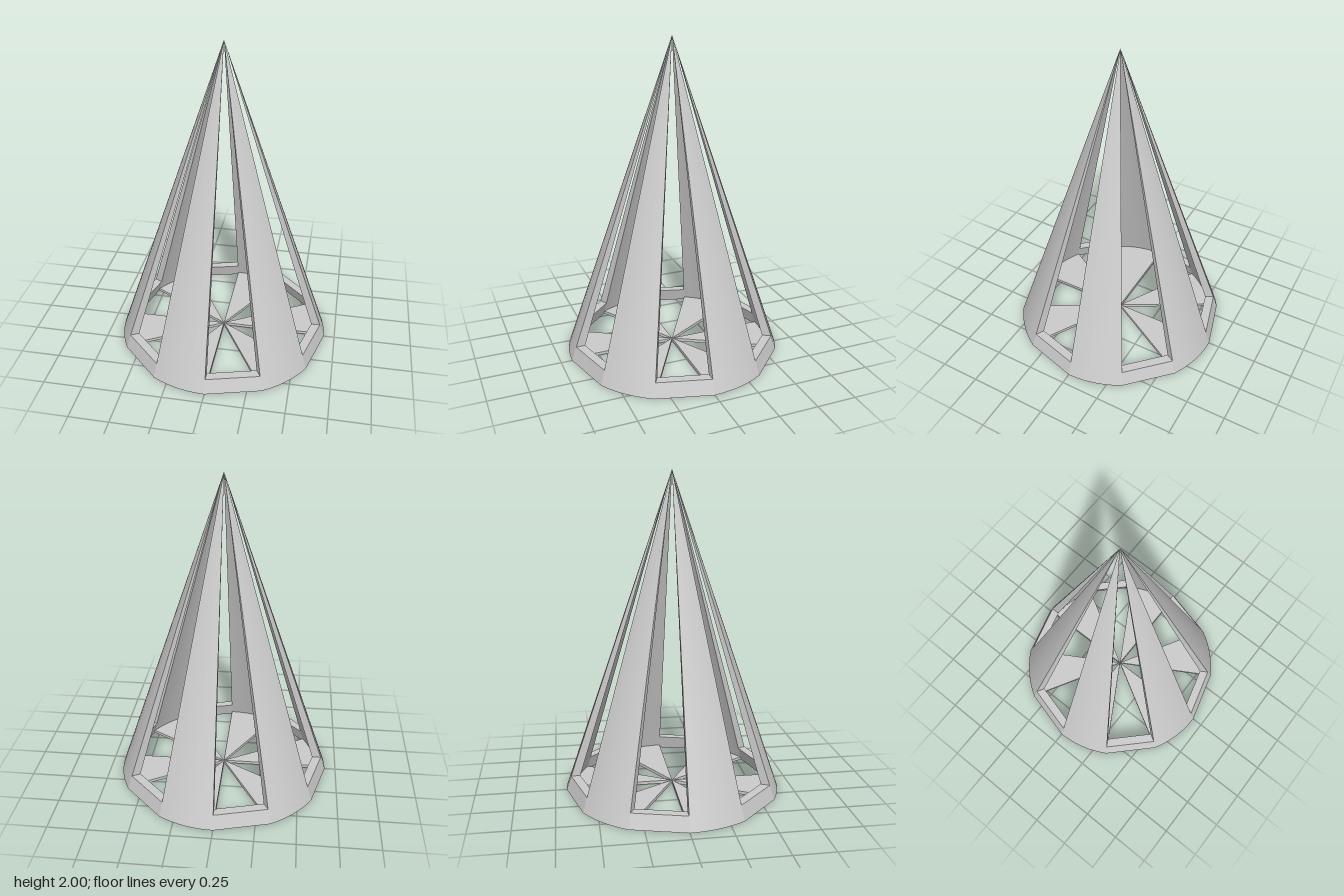
import * as THREE from 'three';
import { toCreasedNormals } from 'three/addons/utils/BufferGeometryUtils.js';

const HEIGHT = 2, OUTER = 0.68, INNER = 0.62, RIM_TOP = 0.09, FLOOR = 0.02;
const STEP = Math.PI / 6; // six walls and six windows, 30 degrees each

// Radius of a cone with base radius r at height y
const radiusAt = (r, y) => r * (1 - y / HEIGHT);

// Sweeps a convex counter-clockwise [radius, y] profile around y, with end caps
function sweep(profile, start, end, segments) {
  const positions = [];
  const tri = (a, b, c) => {
    const area = b.clone().sub(a).cross(c.clone().sub(a)).length();
    if (area > 1e-9) for (const p of [a, b, c]) positions.push(p.x, p.y, p.z);
  };
  const ringAt = (i) => {
    const a = start + ((end - start) * i) / segments;
    return profile.map(([r, y]) => new THREE.Vector3(r * Math.cos(a), y, r * Math.sin(a)));
  };
  const n = profile.length;
  for (let i = 0; i < segments; i++) {
    const A = ringAt(i), B = ringAt(i + 1);
    for (let j = 0; j < n; j++) {
      const k = (j + 1) % n;
      tri(A[j], A[k], B[k]);
      tri(A[j], B[k], B[j]);
    }
  }
  const first = ringAt(0), last = ringAt(segments);
  for (let j = 1; j < n - 1; j++) {
    tri(first[0], first[j + 1], first[j]);
    tri(last[0], last[j], last[j + 1]);
  }
  const geometry = new THREE.BufferGeometry();
  geometry.setAttribute('position', new THREE.Float32BufferAttribute(positions, 3));
  return toCreasedNormals(geometry, 0.25);
}

export function createModel() {
  const group = new THREE.Group();
  group.name = 'openCone';
  const material = new THREE.MeshStandardMaterial({ color: 0xcccccc });
  const add = (name, geometry) => {
    const mesh = new THREE.Mesh(geometry, material);
    mesh.name = name;
    group.add(mesh);
  };

  // Tapering wall, both skins meeting at the tip
  const wall = [[INNER, 0], [OUTER, 0], [0, HEIGHT]];
  // Low sill closing the bottom of each window
  const sill = [
    [INNER, 0], [OUTER, 0],
    [radiusAt(OUTER, RIM_TOP), RIM_TOP], [radiusAt(INNER, RIM_TOP), RIM_TOP],
  ];
  // Thin floor wedge running to the centre
  const spoke = [[0, 0], [INNER, 0], [radiusAt(INNER, FLOOR), FLOOR], [0, FLOOR]];

  for (let i = 0; i < 6; i++) {
    const a = i * 2 * STEP;
    add('windowSill', sweep(sill, a, a + STEP, 1));
    add('wallPanel', sweep(wall, a + STEP, a + 2 * STEP, 6));
    add('floorSpoke', sweep(spoke, a + STEP, a + 2 * STEP, 6));
  }
  return group;
}
